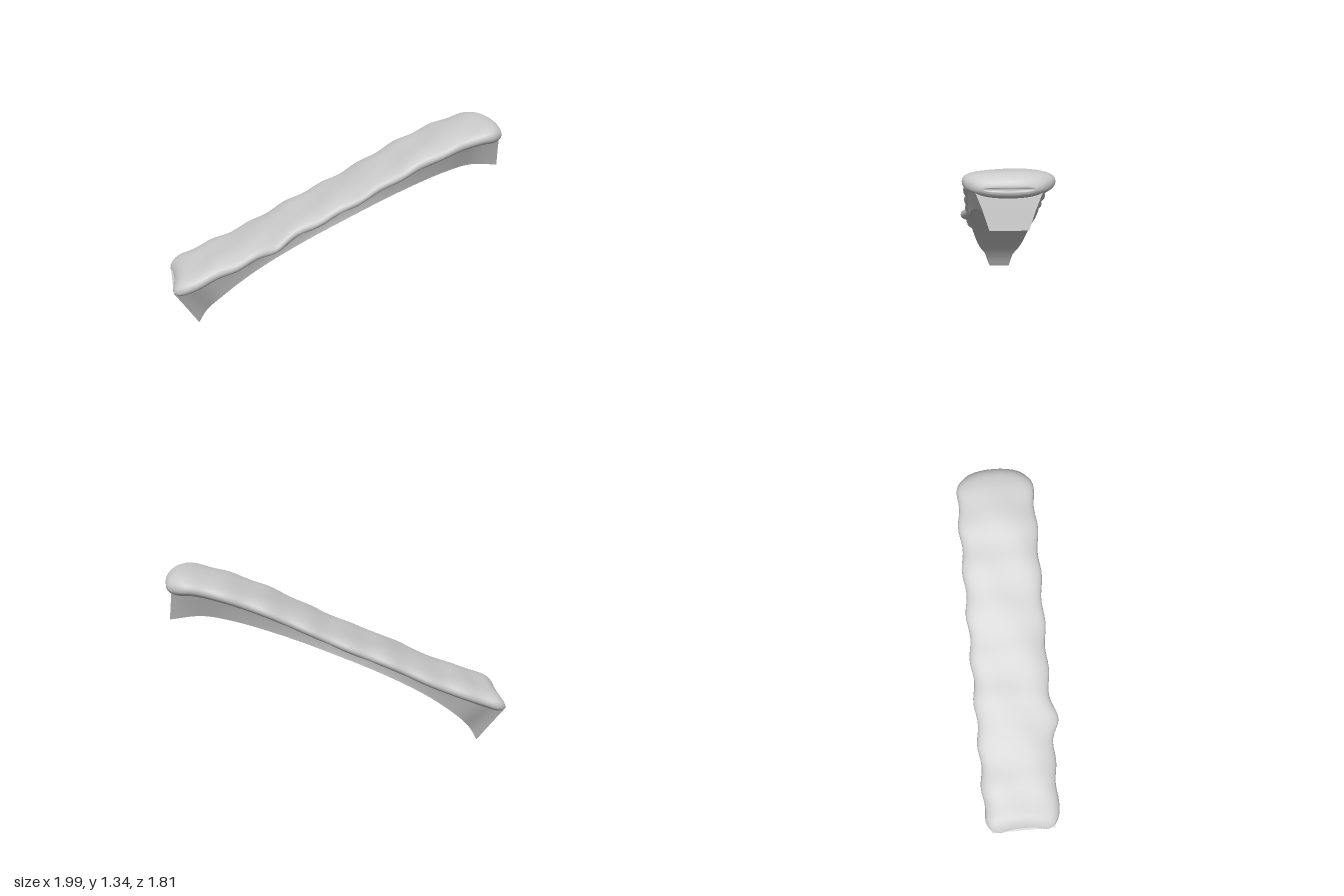
import * as THREE from 'three';
import { toCreasedNormals } from 'three/addons/utils/BufferGeometryUtils.js';

// Smooth curve through a few profile points
const curve = (pts) => new THREE.CatmullRomCurve3(pts.map((p) => new THREE.Vector3(...p)));

// Upper surface, as [along, height, 0]
const TOP = curve([[-1.19, 0.385, 0], [-0.95, 0.47, 0], [-0.63, 0.595, 0], [-0.32, 0.747, 0],
  [0, 0.892, 0], [0.25, 1.02, 0], [0.55, 1.17, 0], [0.8, 1.275, 0], [1.0, 1.335, 0],
  [1.19, 1.33, 0]]).getPoints(120);

// Height of the upper surface at a given x
function topAt(x) {
  let i = 0;
  while (i < TOP.length - 2 && x > TOP[i + 1].x) i++;
  const a = TOP[i], b = TOP[i + 1];
  return a.y + ((b.y - a.y) * (x - a.x)) / (b.x - a.x);
}

// Skin equal-sized rings that run along +x, and close both ends
function loft(rings) {
  const n = rings[0].length, pos = [], index = [];
  for (const ring of rings) for (const p of ring) pos.push(...p);
  for (let i = 0; i < rings.length - 1; i++) {
    for (let j = 0; j < n; j++) {
      const a = i * n + j, b = i * n + ((j + 1) % n);
      index.push(a, b, a + n, b, b + n, a + n);
    }
  }
  [0, rings.length - 1].forEach((i, end) => {
    const c = pos.length / 3, ring = rings[i];
    pos.push(...[0, 1, 2].map((k) => ring.reduce((s, p) => s + p[k], 0) / n));
    for (let j = 0; j < n; j++) {
      const a = i * n + j, b = i * n + ((j + 1) % n);
      if (end) index.push(a, b, c);
      else index.push(b, a, c);
    }
  });
  const g = new THREE.BufferGeometry();
  g.setAttribute('position', new THREE.Float32BufferAttribute(pos, 3));
  g.setIndex(index);
  g.computeVertexNormals();
  return g;
}

// Arched body: narrow feet at both ends, wide smooth underside between
function archBody() {
  const under = curve([[-0.985, 0, 0.08], [-0.93, 0.1, 0.1], [-0.827, 0.23, 0.165],
    [-0.583, 0.43, 0.21], [-0.28, 0.61, 0.23], [0.05, 0.77, 0.235], [0.42, 0.92, 0.21],
    [0.75, 1.02, 0.17], [0.95, 1.045, 0.13], [1.16, 1.02, 0.11]]);
  const rings = [], steps = 72;
  for (let i = 0; i <= steps; i++) {
    const b = under.getPoint(i / steps);
    // The upper edge reaches further out than the foot at the low end
    const low = Math.max(0, 1 - (b.x + 0.985) / 0.5);
    const tx = b.x - 0.16 * low - 0.04 * Math.max(0, (b.x - 0.9) / 0.26);
    const ty = topAt(tx) - 0.07;
    const tw = 0.247 - 0.026 * Math.abs(b.x) ** 4;
    const mx = (b.x + tx) / 2, my = (b.y + ty) / 2;
    const mw = (b.z + tw) / 2 - 0.004;
    rings.push([[tx, ty, -tw], [tx, ty, tw], [mx, my, mw],
      [b.x, b.y, b.z], [b.x, b.y, -b.z], [mx, my, -mw]]);
  }
  return toCreasedNormals(loft(rings), 0.6);
}

// Rounded slab with scalloped long edges and a gently lumpy top
function topSlab() {
  const x0 = -1.165, x1 = 1.14, steps = 160, around = 40, rings = [];
  const round = (d, r) => (d >= r ? 1 : Math.sqrt(1 - ((r - d) / r) ** 2));
  const wave = (x, peak, period) => Math.cos((2 * Math.PI * (x - peak)) / period);
  for (let i = 0; i <= steps; i++) {
    const t = i / steps;
    // Stations crowd towards the ends so that these stay round
    const x = x0 + (x1 - x0) * (0.65 * (1 - Math.cos(Math.PI * t)) / 2 + 0.35 * t * t * (3 - 2 * t));
    const d = Math.min(x - x0, x1 - x);
    const corner = 0.14 + 0.118 * round(d, 0.13);
    const full = 0.06 + 0.012 * x * x;
    const thick = full * (0.15 + 0.85 * round(d, 0.09));
    const calm = Math.min(1, d / 0.25);
    const y = topAt(x) - full + 0.003 * calm * wave(x, -0.3, 0.27);
    const bump = 0.04 * Math.exp(-(((x + 0.45) / 0.09) ** 2));
    const right = corner + calm * (0.001 + 0.008 * wave(x, -0.13, 0.29)) + bump;
    const left = corner + calm * (0.006 + 0.009 * wave(x, -0.3, 0.27));
    const ring = [];
    for (let j = 0; j < around; j++) {
      const a = (j / around) * Math.PI * 2, c = Math.cos(a), s = Math.sin(a);
      const sy = Math.sign(c) * Math.abs(c) ** 0.8, sz = Math.sign(s) * Math.abs(s) ** 0.8;
      const z = sz * (sz > 0 ? right : left);
      // Low end is slightly notched, high end bows outwards
      const bow = 0.035 * Math.max(0, 1 - (z / 0.22) ** 2) * Math.max(0, 1 - d / 0.3);
      const lump = c > 0 ? 0.004 * calm * Math.sin(9 * x + 14 * z) * c : 0;
      ring.push([x + bow, y + sy * thick + lump, z]);
    }
    rings.push(ring);
  }
  return loft(rings);
}

export function createModel() {
  const model = new THREE.Group();
  model.name = 'archedBeam';
  const material = new THREE.MeshStandardMaterial({ color: 0xcccccc });
  const parts = { archBody: archBody(), topSlab: topSlab() };
  for (const [name, geometry] of Object.entries(parts)) {
    // The beam lies diagonally across the ground plane
    geometry.rotateY(Math.atan2(0.655, 0.755));
    const mesh = new THREE.Mesh(geometry, material);
    mesh.name = name;
    model.add(mesh);
  }
  return model;
}
